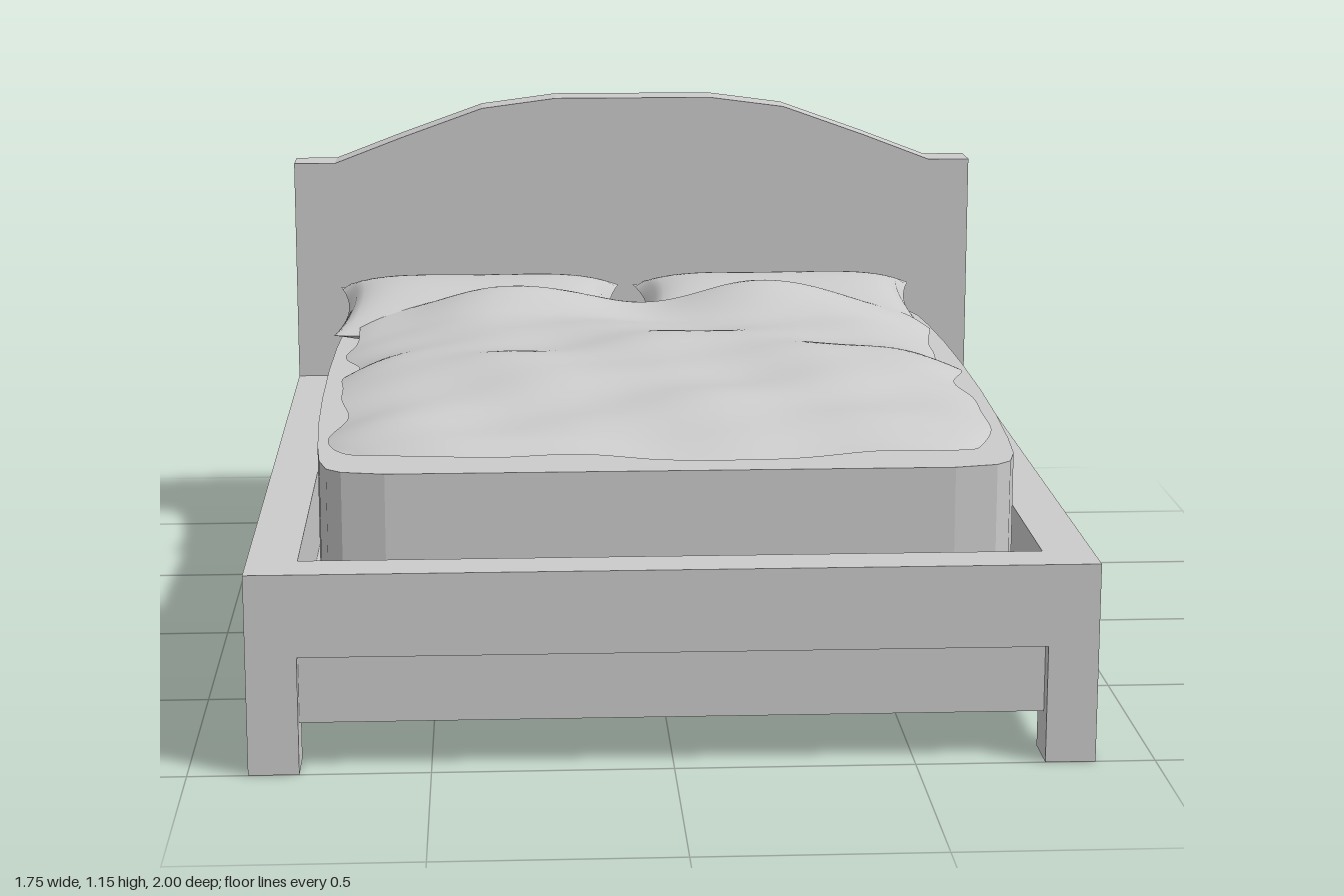
import * as THREE from 'three';

const grey = new THREE.MeshStandardMaterial({ color: 0xcccccc });
const cloth = new THREE.MeshStandardMaterial({ color: 0xcccccc, side: THREE.DoubleSide });
const POST = 0.105; // thickness of legs, rails and headboard

// Box given by its lower and upper corners
function box(name, x0, y0, z0, x1, y1, z1) {
  const m = new THREE.Mesh(new THREE.BoxGeometry(x1 - x0, y1 - y0, z1 - z0), grey);
  m.position.set((x0 + x1) / 2, (y0 + y1) / 2, (z0 + z1) / 2);
  m.name = name;
  return m;
}

// Extruded outline
function slab(name, points, depth) {
  const shape = new THREE.Shape(points.map(([x, y]) => new THREE.Vector2(x, y)));
  const m = new THREE.Mesh(new THREE.ExtrudeGeometry(shape, { depth, bevelEnabled: false }), grey);
  m.name = name;
  return m;
}

// Soft sheet: fn maps u, v in [-1, 1] to a point
function sheet(name, nu, nv, fn) {
  const g = new THREE.PlaneGeometry(2, 2, nu, nv).rotateX(-Math.PI / 2);
  const p = g.attributes.position;
  for (let i = 0; i < p.count; i++) p.setXYZ(i, ...fn(p.getX(i), p.getZ(i)));
  g.computeVertexNormals();
  const m = new THREE.Mesh(g, cloth);
  m.name = name;
  return m;
}

// Smooth function through [position, value] pairs
function profile(points) {
  const curve = new THREE.SplineCurve(points.map(([x, y]) => new THREE.Vector2(x, y)));
  return (t) => {
    let i = 0;
    while (i < points.length - 2 && t > points[i + 1][0]) i++;
    const f = (t - points[i][0]) / (points[i + 1][0] - points[i][0]);
    return curve.getPoint((i + THREE.MathUtils.clamp(f, 0, 1)) / (points.length - 1)).y;
  };
}

function bedFrame() {
  const g = new THREE.Group();
  g.name = 'bedFrame';
  // Two legs with the opening between them, shared by both ends
  const legs = [[-0.875, 0], [-0.77, 0], [-0.77, 0.25], [0.77, 0.25], [0.77, 0], [0.875, 0]];
  const crown = [[0.875, 0.985], [0.77, 0.985], [0.6, 1.05], [0.39, 1.125], [0.2, 1.15]];
  const mirrored = crown.map(([x, y]) => [-x, y]).reverse();
  const headboard = slab('headboard', [...legs, ...crown, ...mirrored], POST);
  headboard.position.z = -1;
  const foot = slab('footRailWithLegs', [...legs, [0.875, 0.425], [-0.875, 0.425]], POST);
  foot.position.z = 1 - POST;
  g.add(headboard, foot);
  // Side rails, with skirts set back below all four rails
  const zi = 1 - POST;
  for (const [side, k] of [['left', 1], ['right', -1]]) {
    const rail = box(side + 'Rail', -POST / 2, 0.25, -zi, POST / 2, 0.425, zi);
    rail.position.x = k * (0.875 - POST / 2);
    const skirt = box(side + 'Skirt', -0.0175, 0.1, -zi, 0.0175, 0.25, zi);
    skirt.position.x = k * 0.8225;
    g.add(rail, skirt);
  }
  g.add(box('frontSkirt', -0.77, 0.1, 0.93, 0.77, 0.25, 0.965));
  g.add(box('backSkirt', -0.77, 0.1, -0.965, 0.77, 0.25, -0.93));
  g.add(box('bedBase', -0.805, 0.22, -0.93, 0.805, 0.25, 0.93));
  return g;
}

// Mattress with tight rounded corners and faintly bowed sides
function mattress() {
  const quarter = [[0.755, 0.15], [0.75, 0.4], [0.74, 0.62], [0.73, 0.75], [0.712, 0.82],
    [0.68, 0.85], [0.59, 0.87]];
  const right = [...quarter.map(([x, y]) => [x, -y]).reverse(), ...quarter];
  const left = right.map(([x, y]) => [-x, y]).reverse();
  const m = slab('mattress', [...right, ...left], 0.35);
  m.geometry.rotateX(-Math.PI / 2);
  m.position.y = 0.25;
  return m;
}

// Pillow: two bulging sheets meeting in a pinched seam, tilted up at the back
function pillow(name, cx) {
  const g = new THREE.Group();
  g.name = name;
  const half = (bulge) => (u, v) => {
    const x = cx + u * 0.358 * (1 - 0.08 * (1 - v * v));
    const z = -0.635 + v * 0.19 * (1 - 0.08 * (1 - u * u));
    const seam = 0.64 - 0.025 * v + 0.008 * u * u;
    const puff = Math.pow(Math.max(0, (1 - u ** 4) * (1 - v * v)), 0.5);
    return [x, Math.max(0.603, seam + bulge * puff), z];
  };
  g.add(sheet('pillowTop', 32, 20, half(0.08)));
  g.add(sheet('pillowUnderside', 32, 20, half(-0.045)));
  return g;
}

// Rumpled duvet, its upper edge lying over the pillows
function duvet() {
  const crest = profile([[-0.56, 0.685], [-0.51, 0.715], [-0.45, 0.712], [-0.36, 0.68], [-0.2, 0.68],
    [0, 0.692], [0.2, 0.692], [0.4, 0.675], [0.6, 0.658], [0.72, 0.638], [0.81, 0.61]]);
  const backEdge = profile([[-1, -0.46], [-0.72, -0.55], [-0.36, -0.5], [-0.08, -0.55],
    [0.3, -0.53], [0.85, -0.53], [1, -0.42]]);
  return sheet('duvet', 90, 90, (u, v) => {
    const front = 0.8 - 0.08 * Math.abs(u) ** 8 + 0.008 * Math.sin(8 * u);
    const z = THREE.MathUtils.lerp(backEdge(u), front, (v + 1) / 2);
    const edge = 0.7 + 0.014 * Math.sin(14 * z + u) + 0.008 * Math.sin(23 * z);
    const x = u * edge * (1 - 0.03 * Math.max(0, v) ** 10);
    const fold = Math.exp(-(((z + 0.49) / 0.09) ** 2));
    const hump = -0.022 * Math.cos(10 * x) * fold;
    const waves = 0.007 * Math.sin(9 * x + 1) * Math.sin(10 * z + 2)
      + 0.006 * Math.sin(6 * x - 11 * z) + 0.005 * Math.sin(15 * x + 9 * z + 2) * Math.cos(13 * z - 4 * x);
    const rim = 0.625 + 0.01 * Math.sin(7 * z) + 0.015 * fold - 0.015 * Math.max(0, v) ** 6;
    const full = 1 - Math.abs(u) ** 5;
    const y = rim + (crest(z) + hump + waves - rim) * full;
    return [x, Math.max(0.605, y), z];
  });
}

export function createModel() {
  const bed = new THREE.Group();
  bed.name = 'bed';
  bed.add(bedFrame(), mattress(), pillow('rightPillow', -0.4), pillow('leftPillow', 0.353), duvet());
  return bed;
}
